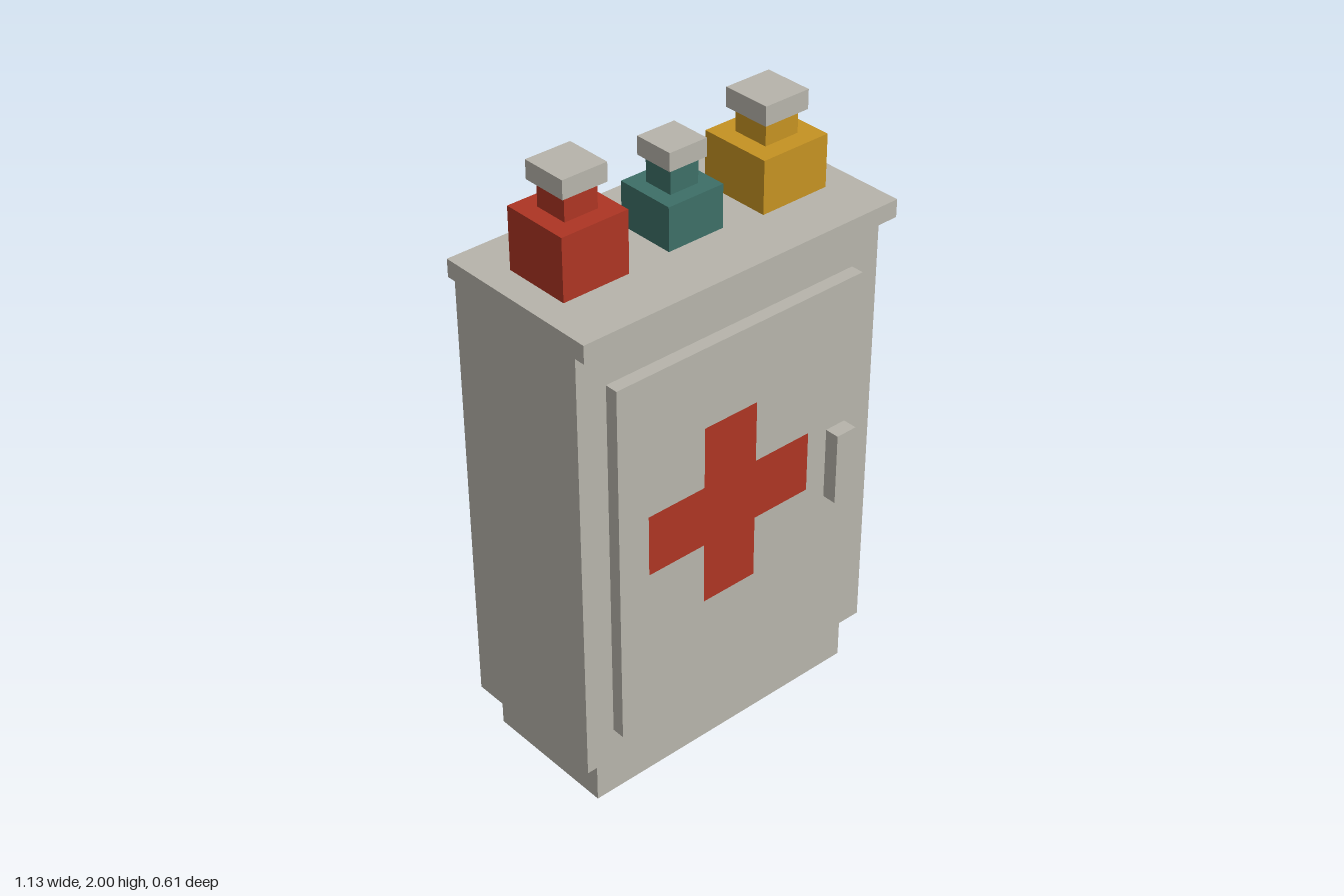
import * as THREE from 'three';

const paint = (name, color) => {
  const m = new THREE.MeshStandardMaterial({ color, side: THREE.DoubleSide });
  m.name = name;
  return m;
};

// Hollow block given by its limits, open on the underside
function block(name, material, [x0, x1], [y0, y1], [z0, z1]) {
  const g = new THREE.BoxGeometry(x1 - x0, y1 - y0, z1 - z0);
  const index = Array.from(g.index.array);
  index.splice(18, 6); // drop the bottom face
  g.setIndex(index);
  g.clearGroups();
  g.translate((x0 + x1) / 2, (y0 + y1) / 2, (z0 + z1) / 2);
  const mesh = new THREE.Mesh(g, material);
  mesh.name = name;
  return mesh;
}

export function createModel() {
  const grey = paint('warmGrey', 0xb7b4ab);
  const red = paint('red', 0xad3523);
  const teal = paint('teal', 0x3d6f67);
  const amber = paint('amber', 0xc59222);

  const model = new THREE.Group();
  model.name = 'medicineCabinet';

  // Cabinet
  model.add(
    block('plinth', grey, [-0.5, 0.5], [0, 0.155], [-0.265, 0.19]),
    block('body', grey, [-0.555, 0.552], [0.155, 1.61], [-0.293, 0.216]),
    block('top', grey, [-0.567, 0.567], [1.61, 1.667], [-0.306, 0.267]),
    block('door', grey, [-0.455, 0.452], [0.265, 1.472], [0.212, 0.258]),
    block('handle', grey, [0.333, 0.406], [0.747, 0.986], [0.255, 0.305]),
  );

  // Flat cross on the door
  const [l, r, b, t] = [-0.351, 0.256, 0.605, 1.213];
  const [il, ir, ib, it] = [-0.145, 0.05, 0.81, 1.012];
  const outline = [
    [il, b], [ir, b], [ir, ib], [r, ib], [r, it], [ir, it],
    [ir, t], [il, t], [il, it], [l, it], [l, ib], [il, ib],
  ].map(([x, y]) => new THREE.Vector2(x, y));
  const cross = new THREE.Mesh(new THREE.ShapeGeometry(new THREE.Shape(outline)), red);
  cross.name = 'cross';
  cross.position.z = 0.261;
  model.add(cross);

  // Square bottles: half widths and top heights of body, neck and cap
  const z = -0.036;
  const bottles = [
    ['leftmostBottle', red, -0.364, [0.112, 0.056, 0.075], [1.862, 1.942, 2.0]],
    ['middleBottle', teal, -0.002, [0.098, 0.05, 0.066], [1.804, 1.885, 1.942]],
    ['rightmostBottle', amber, 0.347, [0.12, 0.061, 0.08], [1.835, 1.909, 1.97]],
  ];
  for (const [name, color, x, half, tops] of bottles) {
    const bottle = new THREE.Group();
    bottle.name = name;
    let y = 1.667;
    ['bottleBody', 'bottleNeck', 'bottleCap'].forEach((part, i) => {
      const h = half[i];
      bottle.add(block(part, i === 2 ? grey : color, [x - h, x + h], [y, tops[i]], [z - h, z + h]));
      y = tops[i];
    });
    model.add(bottle);
  }
  return model;
}
